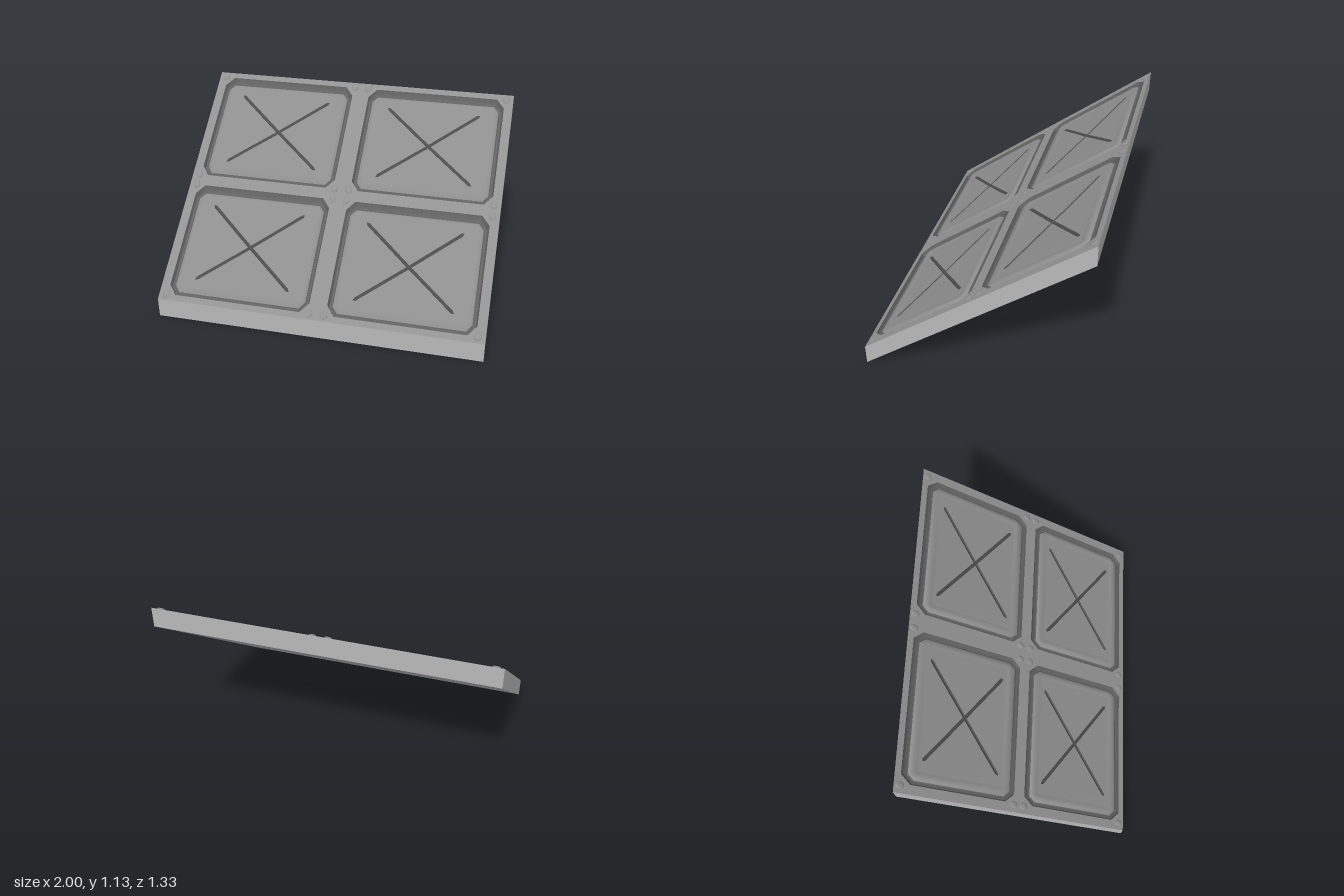
import * as THREE from 'three';
import { toCreasedNormals } from 'three/addons/utils/BufferGeometryUtils.js';

const W = 2, D = 1.334, T = 0.125, FRAME = 0.05, SLOPE = 0.75;
const PANEL_X = 0.5, PANEL_Y = 0.333;

// Parts are laid out flat (z = height above the plate's top), then tilted by a shear.
const tilt = new THREE.Matrix4().set(
  1, 0, 0, 0,
  0, SLOPE, 1, T + SLOPE * D / 2,
  0, -1, 0, 0,
  0, 0, 0, 1);

// Chamfered rectangle, counter-clockwise, shrunk by an inset
function outline(inset, cx = 0, cy = 0) {
  const a = 0.445 - inset, b = 0.303 - inset;
  const c = Math.max(0.05 - inset * 0.586, 0.004);
  return [[a, -b + c], [a, b - c], [a - c, b], [-a + c, b],
    [-a, b - c], [-a, -b + c], [-a + c, -b], [a - c, -b]]
    .map(([x, y]) => new THREE.Vector2(x + cx, y + cy));
}

function meshFromTriangles(tris) {
  const g = new THREE.BufferGeometry();
  g.setAttribute('position', new THREE.Float32BufferAttribute(tris.flatMap(v => [v.x, v.y, v.z]), 3));
  g.computeVertexNormals();
  return g;
}

// Profiles as [inset, height], from the opening towards the panel's middle
const PAD_INSET = 0.08, FACE = -0.009;
const TRENCH = [[0, 0], [0.01, -0.026], [0.024, -0.028], [0.03, -0.02]];
const RIM = [[0.03, -0.02], [0.04, -0.01], [0.052, -0.005], [0.064, -0.005], [PAD_INSET, FACE]];

function ringGeometry(profile) {
  const rings = profile.map(([i, h]) => outline(i).map(p => new THREE.Vector3(p.x, p.y, h)));
  const tris = [];
  for (let r = 0; r < rings.length - 1; r++) {
    const o = rings[r], n = rings[r + 1];
    for (let k = 0; k < 8; k++) {
      const m = (k + 1) % 8;
      tris.push(o[k], o[m], n[m], o[k], n[m], n[k]);
    }
  }
  return meshFromTriangles(tris);
}

// Crossed grooves: edge points of four arms, in order around the centre
const ARM_X = 0.302, ARM_Y = 0.205, HALF = 0.009, DIP = -0.005, CUT = -0.012;
const LEN = Math.hypot(ARM_X, ARM_Y);

// The pad face is slightly dished
const faceHeight = (x, y) =>
  FACE + DIP * (1 - Math.min(1, Math.max(Math.abs(x) / 0.365, Math.abs(y) / 0.223)));

function grooveArms() {
  const crotchX = HALF * LEN / ARM_Y, crotchY = HALF * LEN / ARM_X;
  const crotches = [[crotchX, 0], [0, crotchY], [-crotchX, 0], [0, -crotchY]];
  return [[1, 1], [-1, 1], [-1, -1], [1, -1]].map(([sx, sy], i) => {
    const dx = sx * ARM_X / LEN, dy = sy * ARM_Y / LEN, l = LEN - 0.015;
    return {
      start: crotches[i],
      right: [dx * l + dy * HALF, dy * l - dx * HALF],
      tip: [dx * LEN, dy * LEN],
      left: [dx * l - dy * HALF, dy * l + dx * HALF],
      end: crotches[(i + 1) % 4],
      floor: [dx * l, dy * l],
    };
  });
}

function padFaceGeometry() {
  const shape = new THREE.Shape(outline(PAD_INSET));
  const pts = grooveArms().flatMap(a => [a.start, a.right, a.tip, a.left]);
  shape.holes.push(new THREE.Path(pts.map(p => new THREE.Vector2(...p))));
  const g = new THREE.ShapeGeometry(shape).toNonIndexed();
  const p = g.attributes.position;
  for (let i = 0; i < p.count; i++) p.setZ(i, faceHeight(p.getX(i), p.getY(i)));
  return g;
}

function grooveGeometry() {
  const at = (p, cut = 0) => new THREE.Vector3(p[0], p[1], faceHeight(...p) + cut);
  const c = at([0, 0], CUT), tris = [];
  for (const arm of grooveArms()) {
    const s = at(arm.start), r = at(arm.right), t = at(arm.tip);
    const l = at(arm.left), e = at(arm.end), f = at(arm.floor, CUT);
    tris.push(c, s, r, c, r, f, f, r, t, f, t, l, c, f, l, c, l, e);
  }
  return meshFromTriangles(tris);
}

// Low domed rivet head
function rivetGeometry() {
  const profile = [[0.022, -0.002], [0.022, 0.004], [0.015, 0.01], [0, 0.011]];
  const g = new THREE.LatheGeometry(profile.map(p => new THREE.Vector2(...p)), 8);
  return g.rotateX(Math.PI / 2);
}

export function createModel() {
  const group = new THREE.Group();
  const paint = color => new THREE.MeshStandardMaterial({ color });
  const body = paint(0xb8b8b8), top = paint(0x929292), pad = paint(0x8e8e8e);
  const shade = paint(0x626262), dark = paint(0x505050);

  function add(name, geometry, material, x = 0, y = 0, crease = 0.65) {
    const g = geometry.clone().translate(x, y, 0).applyMatrix4(tilt);
    const mesh = new THREE.Mesh(toCreasedNormals(g, crease), material);
    mesh.name = name;
    group.add(mesh);
  }

  // Solid lower slab
  add('baseSlab', new THREE.BoxGeometry(W, D, T - FRAME).translate(0, 0, -(T + FRAME) / 2), body);

  // Upper frame with four chamfered openings
  const frame = new THREE.Shape([[-1, -1], [1, -1], [1, 1], [-1, 1]]
    .map(([x, y]) => new THREE.Vector2(x * W / 2, y * D / 2)));
  const cells = [[-1, 1], [1, 1], [-1, -1], [1, -1]].map(([x, y]) => [x * PANEL_X, y * PANEL_Y]);
  for (const [x, y] of cells) frame.holes.push(new THREE.Path(outline(0, x, y)));
  add('frame', new THREE.ExtrudeGeometry(frame, { depth: FRAME, bevelEnabled: false })
    .translate(0, 0, -FRAME), [top, body]);

  // Panels and their corner rivets
  const trench = ringGeometry(TRENCH), rim = ringGeometry(RIM);
  const face = padFaceGeometry(), groove = grooveGeometry(), rivet = rivetGeometry();
  for (const [x, y] of cells) {
    add('panelTrench', trench, shade, x, y);
    add('panelRim', rim, pad, x, y, 0.75);
    add('panelFace', face, pad, x, y);
    add('crossGroove', groove, dark, x, y, 0.3);
    for (const sx of [-1, 1]) for (const sy of [-1, 1]) {
      add('rivet', rivet, top, x + sx * 0.455, y + sy * 0.304);
    }
  }
  return group;
}
